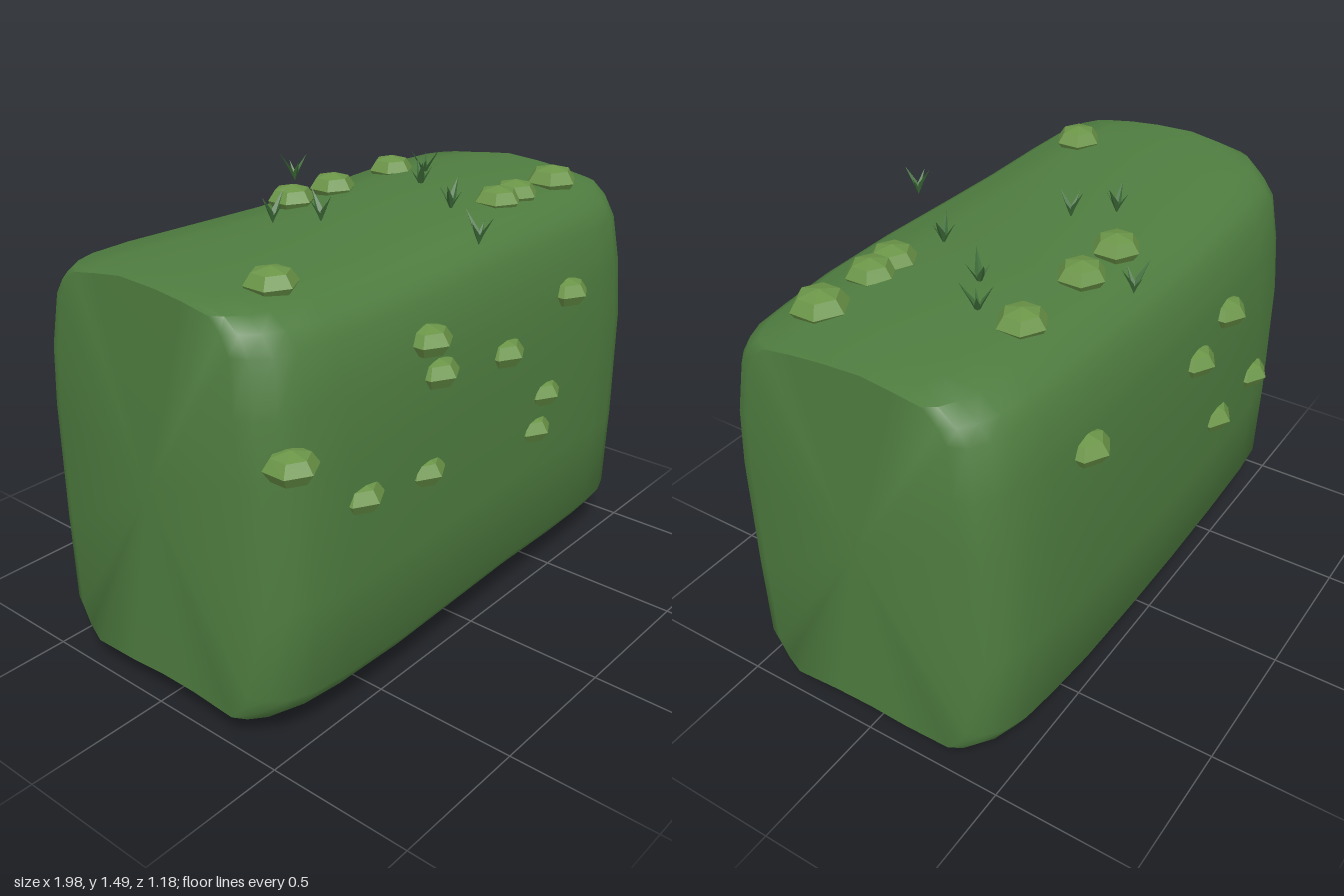
import * as THREE from 'three';
import { toCreasedNormals } from 'three/addons/utils/BufferGeometryUtils.js';

const mat = (color, extra = {}) => new THREE.MeshStandardMaterial({ color, ...extra });

// Clipped hedge: one (z, y) section swept along x, narrowed at both ends
function hedgeGeometry() {
  const profile = [
    [0.43, 0.08], [0.485, 0.125], [0.53, 0.19], [0.54, 0.5], [0.54, 0.9], [0.52, 1.1], [0.49, 1.27], [0.45, 1.33], [0.39, 1.37],
    [0.25, 1.385], [0.1, 1.395], [-0.1, 1.4], [-0.25, 1.385], [-0.38, 1.37], [-0.45, 1.32], [-0.49, 1.27],
    [-0.52, 1.1], [-0.54, 0.9], [-0.54, 0.5], [-0.53, 0.19], [-0.485, 0.125], [-0.43, 0.08], [-0.2, 0.08], [0, 0.09], [0.2, 0.09],
  ];
  // x, width factor
  const stations = [[-0.985, 0.72], [-0.96, 0.82], [-0.91, 0.91], [-0.83, 0.965], [-0.68, 0.99], [-0.4, 1], [-0.1, 1],
    [0.2, 1], [0.5, 1], [0.7, 0.98], [0.83, 0.955], [0.91, 0.9], [0.96, 0.82], [0.985, 0.72]];
  const n = profile.length, pos = [], index = [];
  stations.forEach(([x, w]) => profile.forEach(([z, y]) => {
    const wave = 0.009 * Math.sin(x * 4.2 - 0.6 + z * 2);
    const endTilt = Math.abs(x) > 0.9 && y > 1.25 ? 0.985 : 1;
    pos.push(x * endTilt, y + wave, z * w);
  }));
  for (let i = 0; i < stations.length - 1; i++) for (let j = 0; j < n; j++) {
    const a = i * n + j, b = a + n, k = i * n + (j + 1) % n, c = k + n;
    index.push(a, b, c, a, c, k);
  }
  // end caps
  [[0, -0.99], [(stations.length - 1) * n, 0.99]].forEach(([start, x]) => {
    const centre = pos.length / 3;
    pos.push(x, 0.75, 0);
    for (let j = 0; j < n; j++) {
      const p = start + j, q = start + (j + 1) % n;
      index.push(centre, ...(x > 0 ? [q, p] : [p, q]));
    }
  });
  const g = new THREE.BufferGeometry();
  g.setAttribute('position', new THREE.Float32BufferAttribute(pos, 3));
  g.setIndex(index);
  return toCreasedNormals(g, 0.8);
}

// Curved grass blade, a folded diamond strip growing up +y and leaning to +x
function bladeGeometry() {
  const g = new THREE.BufferGeometry();
  g.setAttribute('position', new THREE.Float32BufferAttribute([
    0, 0, 0, 0.012, 0.045, 0.013, 0.02, 0.042, 0, 0.012, 0.045, -0.013, 0.055, 0.105, 0], 3));
  g.setIndex([0, 2, 1, 0, 3, 2, 1, 2, 4, 2, 3, 4]);
  return toCreasedNormals(g, 0.3);
}

export function createModel() {
  const model = new THREE.Group();
  const add = (parent, name, geometry, material, x, y, z) => {
    const m = new THREE.Mesh(geometry, material);
    m.name = name;
    m.position.set(x, y, z);
    parent.add(m);
    return m;
  };
  const group = (name) => {
    const g = new THREE.Group();
    g.name = name;
    model.add(g);
    return g;
  };

  add(model, 'hedgeBody', hedgeGeometry(), mat(0x4f7d40), 0, 0, 0);

  // Six-sided leaf clumps on the front, back and top
  const clumps = group('leafClumps');
  const clumpGeo = new THREE.SphereGeometry(0.082, 6, 4).rotateY(Math.PI / 6).scale(1.03, 0.62, 1);
  const clumpMat = mat(0x6b9548, { flatShading: true });
  const front = [[-0.9, 0.975], [-0.62, 0.77], [-0.32, 0.735], [-0.3, 1.16], [-0.26, 1.045],
    [0.1, 0.995], [0.48, 1.1], [0.34, 0.775], [0.29, 0.655]];
  const back = [[0.52, 1.06], [-0.18, 0.98], [-0.4, 1.06], [-0.36, 0.65], [-0.66, 0.67]];
  const top = [[-0.71, 0.265], [0.4, 0.265], [0.505, 0.265], [0.74, 0.265, 1.12],
    [-0.04, -0.28], [0.17, -0.28], [0.5, -0.28]];
  front.forEach(([x, y]) => add(clumps, 'frontClump', clumpGeo, clumpMat, x, y, 0.505));
  back.forEach(([x, y]) => add(clumps, 'backClump', clumpGeo, clumpMat, x, y, -0.51));
  top.forEach(([x, z, s = 1]) => add(clumps, 'topClump', clumpGeo, clumpMat, x, 1.395, z).scale.setScalar(s));

  // Grass tufts of splayed blades
  const tufts = group('grassTufts');
  const bladeGeo = bladeGeometry();
  const bladeMat = mat(0x3f6f3a, { side: THREE.DoubleSide });
  [[-0.27, -0.15], [-0.16, -0.04], [0.17, -0.46], [0.38, -0.05], [0.52, -0.14], [0.22, 0.2], [-0.03, 0.49]]
    .forEach(([x, z], t) => {
      for (let i = 0; i < 4; i++) {
        const b = add(tufts, 'grassBlade', bladeGeo, bladeMat, x, 1.385, z);
        b.rotation.y = t * 1.3 + i * 1.65;
        b.scale.setScalar([1, 0.75, 0.9, 0.65][i]);
      }
    });

  // Short stems under the hedge
  const stems = group('stems');
  const stemGeo = new THREE.CylinderGeometry(0.015, 0.02, 0.12, 6);
  const stemMat = mat(0x4a3529, { flatShading: true });
  [[-0.85, 0.02], [-0.47, 0.08], [-0.29, -0.08], [0.05, 0.01], [0.32, -0.08], [0.53, 0.09], [0.78, 0]]
    .forEach(([x, z]) => add(stems, 'stem', stemGeo, stemMat, x, 0.06, z));

  return model;
}
